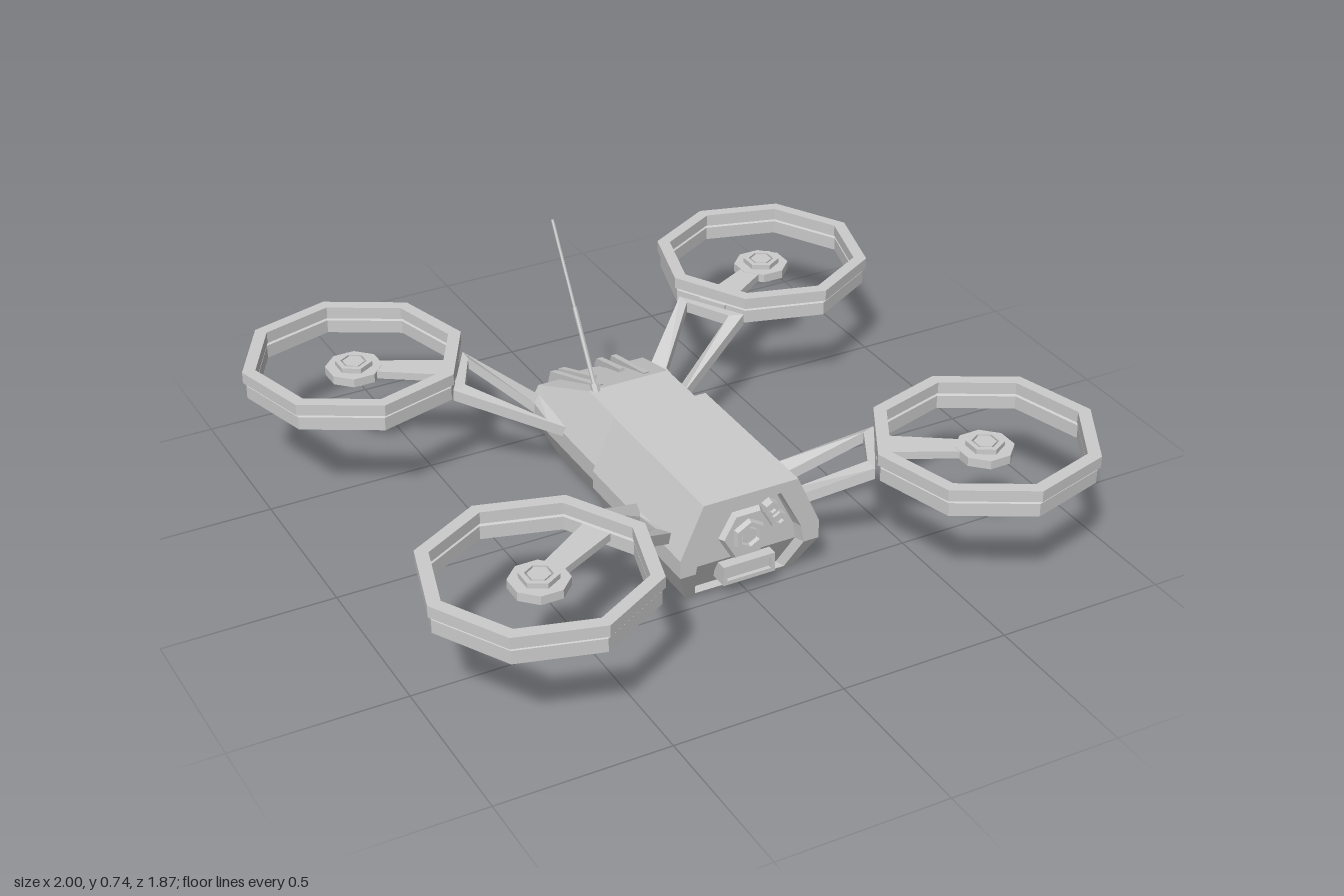
import * as THREE from 'three';

const material = new THREE.MeshStandardMaterial({ color: 0xcccccc, flatShading: true });

// Faceted copy of a geometry, optionally mirrored in x and z
function facet(geo, sx = 1, sz = 1) {
  const g = geo.index ? geo.toNonIndexed() : geo.clone();
  const p = g.attributes.position;
  for (let i = 0; i < p.count; i++) p.setXYZ(i, p.getX(i) * sx, p.getY(i), p.getZ(i) * sz);
  if (sx * sz < 0) {
    const a = new THREE.Vector3(), b = new THREE.Vector3();
    for (let i = 0; i < p.count; i += 3) {
      a.fromBufferAttribute(p, i + 1);
      b.fromBufferAttribute(p, i + 2);
      p.setXYZ(i + 1, b.x, b.y, b.z);
      p.setXYZ(i + 2, a.x, a.y, a.z);
    }
  }
  g.computeVertexNormals();
  return g;
}

function add(parent, name, geo, sx, sz) {
  const mesh = new THREE.Mesh(facet(geo, sx, sz), material);
  mesh.name = name;
  parent.add(mesh);
  return mesh;
}

// Skin through equal-length loops; caps pair mirrored points, or the skin closes on itself
function loft(loops, closed = false) {
  const pos = [], n = loops[0].length, m = loops.length;
  const quad = (a, b, c, d) => pos.push(...a, ...b, ...c, ...a, ...c, ...d);
  for (let i = 0; i < (closed ? m : m - 1); i++) {
    const A = loops[i], B = loops[(i + 1) % m];
    for (let j = 0; j < n; j++) quad(A[j], A[(j + 1) % n], B[(j + 1) % n], B[j]);
  }
  if (!closed) {
    const A = loops[0], B = loops[m - 1];
    for (let k = 0; k < n / 2 - 1; k++) {
      quad(B[k], B[k + 1], B[n - 2 - k], B[n - 1 - k]);
      quad(A[n - 1 - k], A[n - 2 - k], A[k + 1], A[k]);
    }
  }
  const g = new THREE.BufferGeometry();
  g.setAttribute('position', new THREE.Float32BufferAttribute(pos, 3));
  return g;
}

// Symmetric section from its +x half, listed upward as [x, y, z]
const section = (half) => [...half, ...half.slice().reverse().map(([x, y, z]) => [-x, y, z])];
const at = (half, z) => section(half.map(([x, y]) => [x, y, z]));

// Lathe of a closed [radius, y] profile
const ring = (profile, sides, phi = 0) => new THREE.LatheGeometry(
  [...profile, profile[0]].map(([r, y]) => new THREE.Vector2(r, y)), sides, phi);

// Turns an upright part to face +z
const faceFront = (geo, x, y, z) => geo.rotateX(Math.PI / 2).translate(x, y, z);

function buildBody(root) {
  const front = [[0.165, 0], [0.215, 0.115], [0.215, 0.17], [0.145, 0.325]];
  const rear = [[0.15, 0.015], [0.197, 0.115], [0.197, 0.17], [0.127, 0.305]];
  const inner = [[0.14, 0.012], [0.168, 0.115], [0.158, 0.17], [0.092, 0.295]];
  const nose = (half, depth) => section(half.map(([x, y]) =>
    [x, y, 0.51 - depth - 0.06 * Math.max(0, 1 - y / 0.115)]));

  // Front hull with a recessed nose panel
  add(root, 'frontHull', loft([at(rear, -0.025), at(front, -0.005), at(front, 0.02),
    nose(front, 0), nose(inner, 0), nose(inner.map(([x, y]) => [x * 0.94, y]), 0.03)]));

  // Rear hull with a sloping back deck
  add(root, 'rearHull', loft([
    section([[0.15, 0.015, -0.38], [0.197, 0.115, -0.42], [0.197, 0.17, -0.44], [0.173, 0.215, -0.44]]),
    at(rear, -0.2), at(rear, -0.015)]));

  // Stepped tail block
  add(root, 'tailBlock', loft([
    section([[0.085, 0.045, -0.455], [0.105, 0.1, -0.48], [0.085, 0.195, -0.485]]),
    section([[0.11, 0.025, -0.36], [0.13, 0.1, -0.36], [0.11, 0.24, -0.36]])]));
  add(root, 'tailCore', loft([
    section([[0.04, 0.07, -0.485], [0.045, 0.12, -0.505], [0.04, 0.185, -0.505]]),
    section([[0.055, 0.05, -0.33], [0.06, 0.12, -0.33], [0.055, 0.255, -0.33]])]));

  // Tail ribs, spreading towards the back
  const ribs = [
    ['outerTailRib', 0.066, [[-0.23, 0.297], [-0.49, 0.218], [-0.505, 0.17], [-0.47, 0.06], [-0.3, 0.06]]],
    ['innerTailRib', 0.026, [[-0.33, 0.268], [-0.51, 0.208], [-0.53, 0.18], [-0.53, 0.14], [-0.5, 0.08], [-0.33, 0.08]]],
  ];
  for (const [name, x0, outline] of ribs) {
    const shape = new THREE.Shape(outline.map(([z, y]) => new THREE.Vector2(z, y)));
    const geo = new THREE.ExtrudeGeometry(shape, { depth: 0.018, bevelEnabled: false }).rotateY(-Math.PI / 2);
    const p = geo.attributes.position;
    for (let i = 0; i < p.count; i++) p.setX(i, p.getX(i) + x0 + 0.018 - 0.1 * (p.getZ(i) + 0.23));
    for (const s of [1, -1]) add(root, name, geo, s, 1);
  }
}

function buildSensors(root) {
  // Main camera: hexagonal plate, raised rim and lens
  const plate = new THREE.CylinderGeometry(0.074, 0.085, 0.02, 6).rotateY(Math.PI / 6);
  add(root, 'cameraPlate', faceFront(plate, 0, 0.185, 0.487));
  add(root, 'cameraRim', faceFront(ring([[0.052, 0], [0.046, 0.018], [0.032, 0.018], [0.028, 0]], 6), 0, 0.185, 0.494));
  add(root, 'cameraLens', faceFront(new THREE.CylinderGeometry(0.024, 0.03, 0.012, 6), 0, 0.185, 0.498));

  // Two small side lenses
  for (const [x, y] of [[0.07, 0.248], [0.094, 0.208]]) {
    add(root, 'smallLensRim', faceFront(ring([[0.024, 0], [0.022, 0.025], [0.014, 0.025], [0.012, 0]], 6), x, y, 0.48));
    add(root, 'smallLens', faceFront(new THREE.CylinderGeometry(0.014, 0.014, 0.015, 6), x, y, 0.487));
  }

  // Framed slot below the camera
  const bar = (w, h, x, y) => add(root, 'slotFrame', new THREE.BoxGeometry(w, h, 0.055).translate(x, y, 0.48));
  bar(0.16, 0.012, 0, 0.1);
  bar(0.16, 0.012, 0, 0.053);
  for (const s of [1, -1]) bar(0.012, 0.04, s * 0.074, 0.077);
  add(root, 'slotPanel', new THREE.BoxGeometry(0.14, 0.04, 0.04).translate(0, 0.077, 0.475));
}

function buildAntenna(root) {
  const base = new THREE.Vector3(-0.107, 0.295, -0.19), tip = new THREE.Vector3(-0.107, 0.733, -0.457);
  const dir = tip.clone().sub(base);
  const turn = new THREE.Quaternion().setFromUnitVectors(new THREE.Vector3(0, 1, 0), dir.clone().normalize());
  const pieces = [['antennaFoot', 0, 0.06, 0.013], ['antennaLowerRod', 0, 0.5, 0.0065], ['antennaUpperRod', 0.5, 1, 0.0045]];
  for (const [name, t0, t1, r] of pieces) {
    const geo = new THREE.CylinderGeometry(r, r, dir.length() * (t1 - t0), 6).applyQuaternion(turn);
    const mid = base.clone().addScaledVector(dir, (t0 + t1) / 2);
    add(root, name, geo.translate(mid.x, mid.y, mid.z));
  }
}

function buildRotor(root, sx, sz) {
  const group = new THREE.Group();
  group.name = (sz > 0 ? 'front' : 'rear') + (sx > 0 ? 'Left' : 'Right') + 'Rotor';
  const cx = 0.677, cz = 0.612;
  const part = (name, geo) => add(group, name, geo, sx, sz);
  const hubPart = (name, geo) => part(name, geo.translate(cx, 0, cz));

  // Eight-sided guard made of two stacked bands with a groove between
  hubPart('guardRing', ring([[0.289, 0.29], [0.316, 0.29], [0.316, 0.33], [0.308, 0.333], [0.308, 0.337],
    [0.325, 0.341], [0.325, 0.375], [0.286, 0.375], [0.286, 0.341], [0.297, 0.337], [0.297, 0.333], [0.289, 0.33]],
  8, THREE.MathUtils.degToRad(38.4)));

  // Motor hub with hexagonal rims above and below
  hubPart('motorHub', new THREE.CylinderGeometry(0.083, 0.083, 0.026, 8, 1).rotateY(0.4).translate(0, 0.318, 0));
  for (const y of [0.298, 0.338]) {
    hubPart('motorRim', ring([[0.054, y - 0.008], [0.054, y + 0.008], [0.038, y + 0.008], [0.038, y - 0.008]], 6));
    hubPart('motorCap', new THREE.CylinderGeometry(0.032, 0.032, 0.014, 6).translate(0, y, 0));
  }

  // Tapered arm from the guard to the hub
  const u = new THREE.Vector2(0.42 - cx, 0.462 - cz), len = u.length();
  u.divideScalar(len);
  const slice = (t, w) => [[w, 0.307], [w, 0.33], [-w, 0.33], [-w, 0.307]]
    .map(([s, y]) => [cx + u.x * t - u.y * s, y, cz + u.y * t + u.x * s]);
  part('rotorArm', loft([slice(len, 0.045), slice(0.05, 0.031)]));

  // Open sloping bracket between hull and guard: [outer x, z, inner x, z, y]
  const corners = [
    [0.36, 0.555, 0.362, 0.512, 0.285], [0.475, 0.365, 0.432, 0.38, 0.285],
    [0.185, 0.225, 0.218, 0.285, 0.152], [0.185, 0.415, 0.218, 0.375, 0.165],
  ];
  part('armBracket', loft(corners.map(([ox, oz, ix, iz, y]) =>
    [[ox, y, oz], [ox, y + 0.034, oz], [ix, y + 0.034, iz], [ix, y, iz]]).reverse(), true));
  root.add(group);
}

export function createModel() {
  const root = new THREE.Group();
  root.name = 'quadcopter';
  buildBody(root);
  buildSensors(root);
  buildAntenna(root);
  for (const sx of [1, -1]) for (const sz of [1, -1]) buildRotor(root, sx, sz);
  return root;
}
